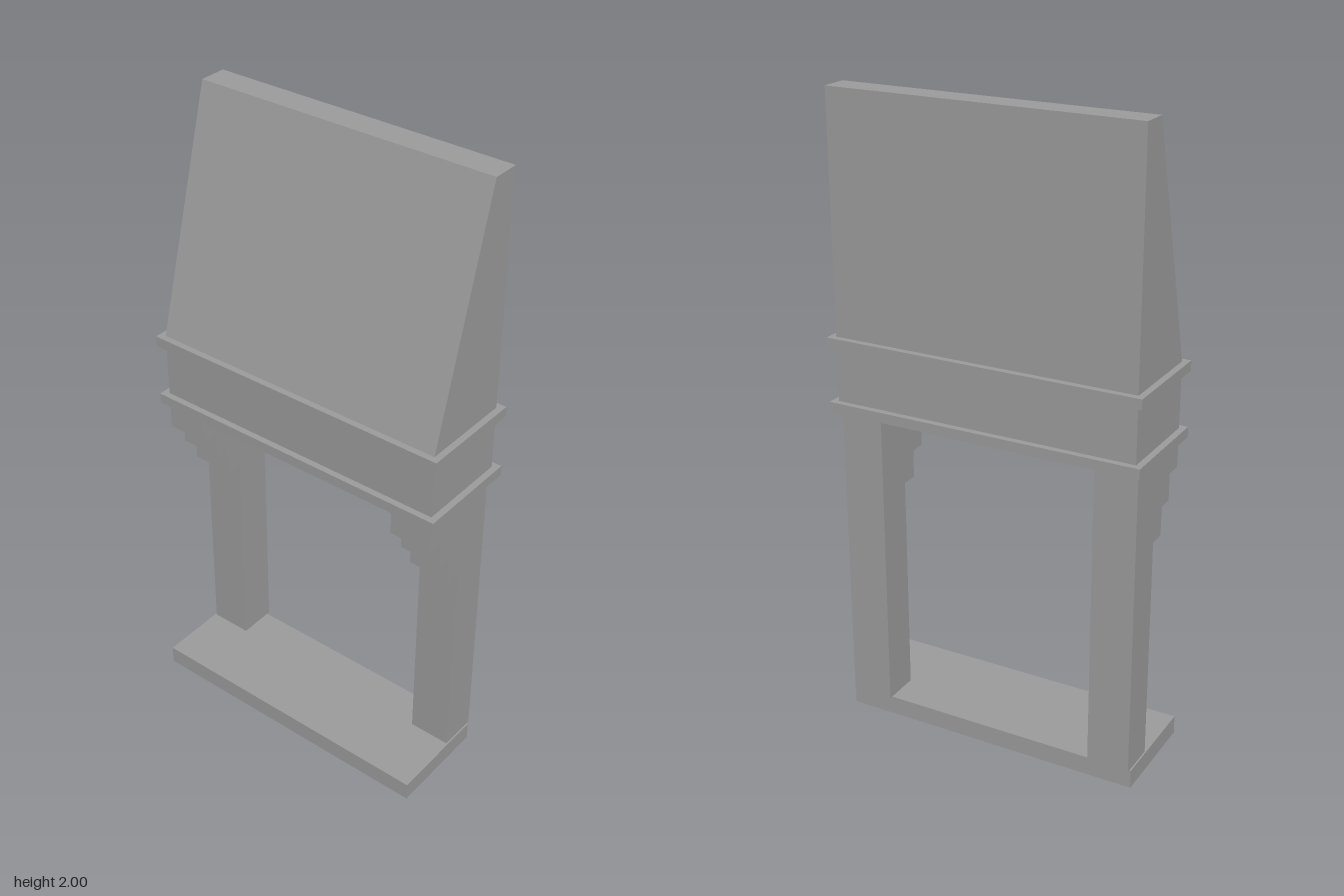
import * as THREE from 'three';

const material = new THREE.MeshStandardMaterial({ color: 0x9b9b9b });
const WALL = 0.045;
const HALF = 0.484; // half length of the hood and posts along z
const FRONT = -0.127, BACK = 0.168; // hood and frieze faces along x

function polygon(points) {
  return new THREE.Shape(points.map(([x, y]) => new THREE.Vector2(x, y)));
}

function addMesh(parent, name, geometry) {
  const mesh = new THREE.Mesh(geometry, material);
  mesh.name = name;
  parent.add(mesh);
  return mesh;
}

// Side profile in x/y, extruded from z0 to z1
function slice(points, z0, z1) {
  const geometry = new THREE.ExtrudeGeometry(polygon(points), { depth: z1 - z0, bevelEnabled: false });
  return geometry.translate(0, 0, z0);
}

// Rectangular frame around the flue opening, projecting by lip, from y0 to y1
function frame(lip, y0, y1) {
  const x0 = FRONT - lip, x1 = BACK + lip, z = HALF + lip;
  const shape = polygon([[x0, -z], [x1, -z], [x1, z], [x0, z]]);
  const a = FRONT + WALL, b = BACK - WALL, c = HALF - WALL;
  shape.holes.push(polygon([[a, -c], [a, c], [b, c], [b, -c]]));
  const geometry = new THREE.ExtrudeGeometry(shape, { depth: y1 - y0, bevelEnabled: false });
  return geometry.rotateX(-Math.PI / 2).translate(0, y0, 0);
}

export function createModel() {
  const model = new THREE.Group();
  model.name = 'fireplace';

  // Hearth slab, reaching forward past the posts
  const hearth = addMesh(model, 'hearth', new THREE.BoxGeometry(0.33, 0.06, 0.978));
  hearth.position.set(-0.025, 0.03, 0);

  // Posts with stepped corbels under the mantel
  const postProfile = [
    [0.028, 0.06], [0.15, 0.06], [0.15, 1.035], [FRONT, 1.035], [FRONT, 0.945],
    [-0.073, 0.945], [-0.073, 0.86], [-0.024, 0.86], [-0.024, 0.77], [0.028, 0.77],
  ];
  addMesh(model, 'leftPost', slice(postProfile, 0.35, HALF));
  addMesh(model, 'rightPost', slice(postProfile, -HALF, -0.35));

  // Hollow mantel: frieze between two projecting mouldings
  addMesh(model, 'lowerMoulding', frame(0.02, 1.035, 1.067));
  addMesh(model, 'frieze', frame(0, 1.067, 1.238));
  addMesh(model, 'upperMoulding', frame(0.02, 1.238, 1.27));

  // Tapered hood: a hollow middle closed by two end walls
  const hood = new THREE.Group();
  hood.name = 'hood';
  model.add(hood);
  const outer = [[FRONT, 1.27], [BACK, 1.27], [BACK, 2], [0.082, 2]];
  const shell = [
    [FRONT, 1.27], [FRONT + WALL, 1.27], [0.113, 1.95], [BACK - WALL, 1.95],
    [BACK - WALL, 1.27], [BACK, 1.27], [BACK, 2], [0.082, 2],
  ];
  addMesh(hood, 'hoodShell', slice(shell, -HALF + WALL, HALF - WALL));
  addMesh(hood, 'hoodLeftWall', slice(outer, HALF - WALL, HALF));
  addMesh(hood, 'hoodRightWall', slice(outer, -HALF, -HALF + WALL));

  return model;
}
